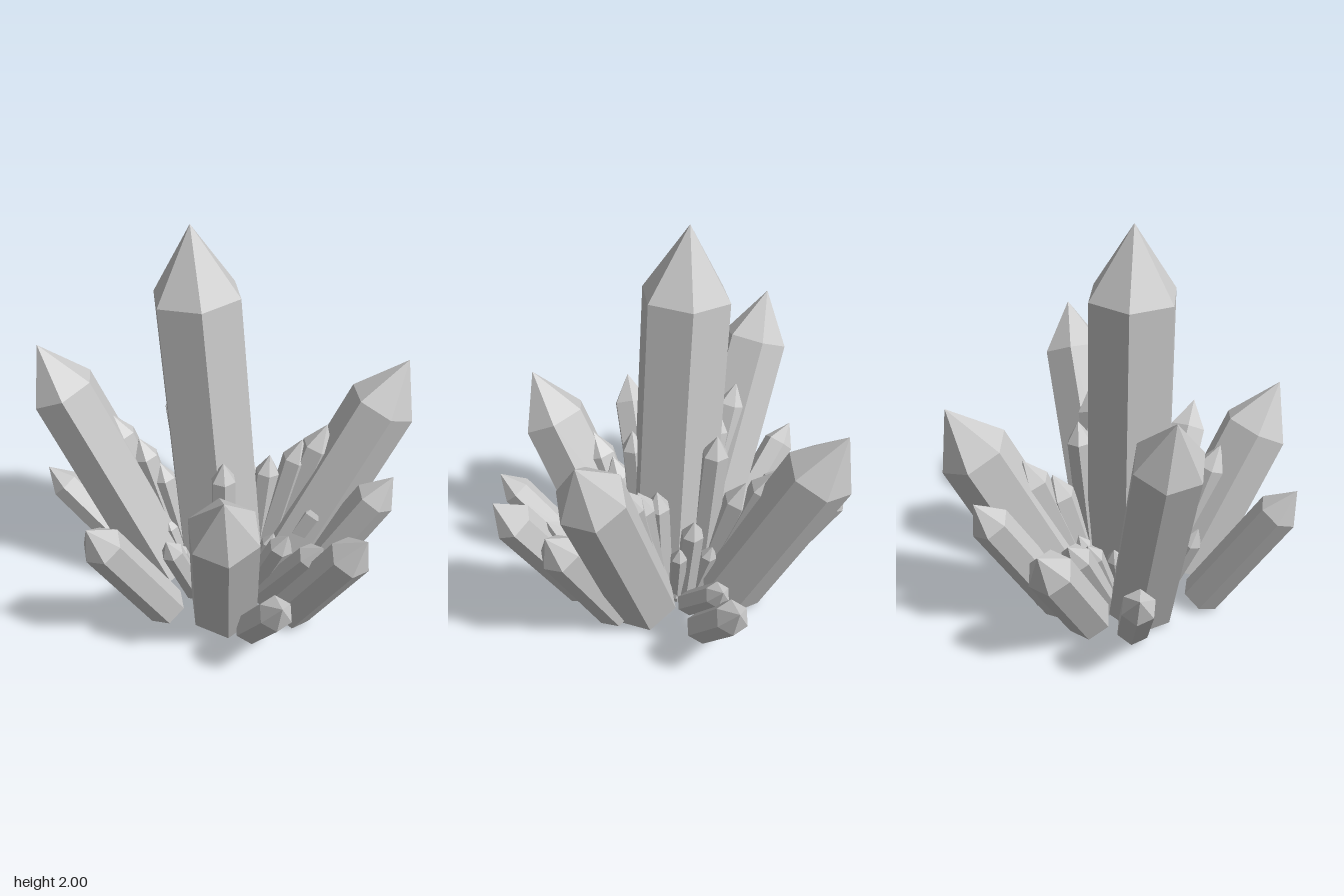
import * as THREE from 'three';

const material = new THREE.MeshStandardMaterial({ color: 0xcccccc, flatShading: true });
const UP = new THREE.Vector3(0, 1, 0);

// Six-sided prism with a pyramid point, running from base to tip
function crystal(name, base, tip, radius) {
  const axis = tip.clone().sub(base);
  const length = axis.length();
  const profile = [
    [0, 0], [radius, 0], [radius * 0.98, length - radius * 1.5], [0, length],
  ].map(([x, y]) => new THREE.Vector2(x, y));
  const mesh = new THREE.Mesh(new THREE.LatheGeometry(profile, 6), material);
  mesh.name = name;
  mesh.position.copy(base);
  mesh.quaternion.setFromUnitVectors(UP, axis.normalize());
  return mesh;
}

// Crystal leaning outward: its foot sits at distance foot from the centre,
// raised so that the outer edge of its tilted base touches the ground
function leaning(name, [x, y, z, radius, foot]) {
  const reach = Math.hypot(x, z);
  const lift = radius * Math.sin(Math.atan2(reach - foot, y)) + 0.005;
  const base = new THREE.Vector3(x / reach * foot, lift, z / reach * foot);
  return crystal(name, base, new THREE.Vector3(x, y, z), radius);
}

// Each row: tip x, y, z, radius, foot distance
const large = [
  [-0.89, 1.36, -0.2, 0.175, 0.3],
  [0.9, 1.3, 0.06, 0.175, 0.3],
  [0.05, 1.18, -0.91, 0.18, 0.35],
  [-0.1, 1.06, 0.82, 0.18, 0.32],
];
const medium = [
  [0.8, 0.78, 0.29, 0.105, 0.42],
  [0.58, 0.71, 0.7, 0.11, 0.47],
  [0.15, 0.54, 0.92, 0.085, 0.48],
  [-0.7, 0.78, 0.55, 0.105, 0.42],
  [-0.9, 0.55, -0.37, 0.085, 0.48],
  [-0.59, 0.69, -0.72, 0.115, 0.45],
  [-0.17, 0.78, -0.87, 0.1, 0.42],
  [0.7, 0.55, -0.63, 0.085, 0.48],
];
const inner = [
  [-0.55, 0.97, -0.16, 0.08, 0.22], [-0.42, 0.85, -0.11, 0.07, 0.19],
  [-0.32, 0.72, -0.07, 0.06, 0.16],
  [0.52, 0.94, 0.02, 0.085, 0.22], [0.4, 0.85, 0, 0.075, 0.19],
  [0.24, 0.75, -0.03, 0.065, 0.16],
  [0, 0.86, -0.56, 0.085, 0.24], [0, 0.75, -0.41, 0.08, 0.2],
  [0.02, 1.0, -0.26, 0.07, 0.17],
  [-0.1, 0.77, 0.48, 0.085, 0.22], [-0.06, 0.67, 0.35, 0.075, 0.19],
  [-0.03, 0.88, 0.22, 0.065, 0.16],
  [-0.43, 0.6, -0.51, 0.08, 0.28], [-0.31, 0.5, -0.36, 0.06, 0.22],
  [0.42, 0.54, 0.5, 0.075, 0.28], [0.28, 0.5, 0.33, 0.065, 0.2],
  [0.53, 0.49, -0.49, 0.065, 0.28], [0.19, 0.58, -0.21, 0.06, 0.17],
  [0.5, 0.58, 0.14, 0.07, 0.24], [-0.32, 0.45, 0.24, 0.06, 0.2],
];

export function createModel() {
  const model = new THREE.Group();
  model.name = 'crystalCluster';

  model.add(crystal('centralCrystal', new THREE.Vector3(0, 0.03, 0),
    new THREE.Vector3(-0.15, 2, -0.04), 0.23));
  large.forEach((row) => model.add(leaning('largeCrystal', row)));
  medium.forEach((row) => model.add(leaning('mediumCrystal', row)));
  inner.forEach((row) => model.add(leaning('innerCrystal', row)));

  // Short crystals close around the central one
  for (let i = 0; i < 10; i++) {
    const angle = (i + 0.4) * Math.PI / 5;
    const reach = 0.28 + 0.02 * (i % 3);
    model.add(leaning('smallCrystal',
      [Math.sin(angle) * reach, 0.38 + 0.04 * (i % 2), Math.cos(angle) * reach, 0.045, 0.17]));
  }
  return model;
}
